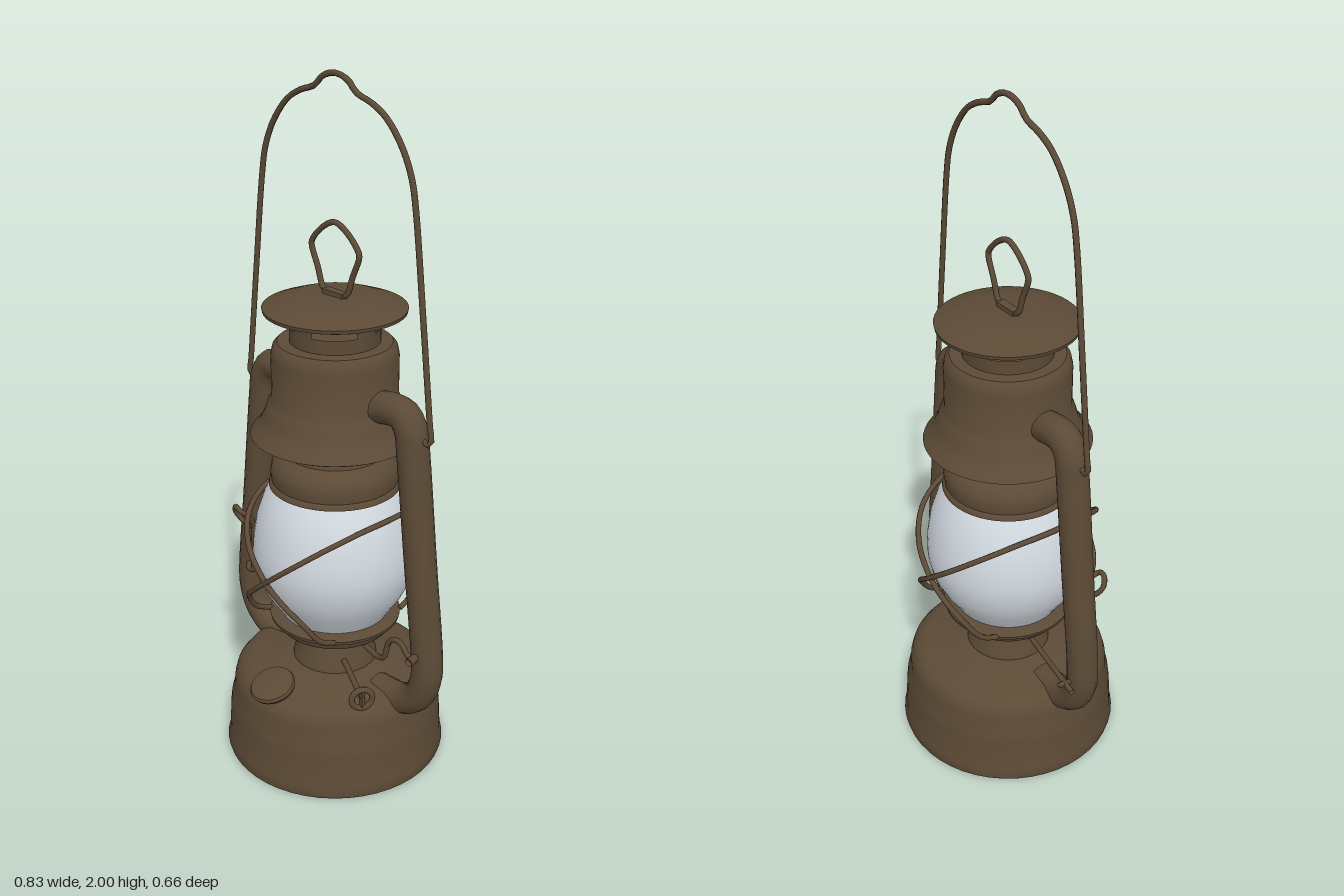
import * as THREE from 'three';
import { toCreasedNormals } from 'three/addons/utils/BufferGeometryUtils.js';

export function createModel() {
  const root = new THREE.Group();
  root.name = 'lantern';
  const metal = new THREE.MeshStandardMaterial({ color: 0x5c4a36, side: THREE.DoubleSide });
  metal.name = 'brown metal';
  const glass = new THREE.MeshStandardMaterial({ color: 0xd3dae1 });
  glass.name = 'frosted glass';

  const add = (name, geometry, material = metal, parent = root) => {
    const mesh = new THREE.Mesh(geometry, material);
    mesh.name = name;
    parent.add(mesh);
    return mesh;
  };
  // Turned part from [radius, height] pairs, listed bottom to top
  const turned = (name, profile, material = metal, parent = root) => {
    const points = profile.map(([r, y]) => new THREE.Vector2(r, y));
    return add(name, toCreasedNormals(new THREE.LatheGeometry(points, 48), 0.6), material, parent);
  };
  const curve = (points, closed = false) =>
    new THREE.CatmullRomCurve3(points.map((p) => new THREE.Vector3(...p)), closed, 'centripetal');
  const wire = (name, points, radius = 0.008, sides = 8, steps = 64, closed = false) =>
    add(name, new THREE.TubeGeometry(curve(points, closed), steps, radius, sides, closed));
  // Straight rod between two points
  const rod = (name, a, b, radius) => {
    const path = new THREE.LineCurve3(new THREE.Vector3(...a), new THREE.Vector3(...b));
    return add(name, new THREE.TubeGeometry(path, 1, radius, 8));
  };

  // Fuel tank
  turned('fuelTank', [[0, 0.004], [0.31, 0.004], [0.325, 0], [0.328, 0.01], [0.322, 0.03], [0.316, 0.13],
    [0.312, 0.16], [0.303, 0.19], [0.301, 0.22], [0.294, 0.245], [0.278, 0.265], [0.25, 0.276],
    [0.17, 0.283], [0.15, 0.292], [0, 0.292]]);

  // Burner cone and the gallery holding the globe
  turned('burnerCone', [[0.125, 0.285], [0.122, 0.305], [0.112, 0.325], [0.107, 0.36], [0.09, 0.4]]);
  turned('globeGallery', [[0.085, 0.385], [0.105, 0.39], [0.115, 0.403], [0.165, 0.403], [0.172, 0.415],
    [0.174, 0.428], [0.19, 0.432], [0.192, 0.442], [0.165, 0.452], [0, 0.452]]);

  // Glass globe
  turned('globe', [[0.155, 0.445], [0.17, 0.47], [0.2, 0.515], [0.222, 0.56], [0.235, 0.61], [0.238, 0.65],
    [0.234, 0.7], [0.223, 0.76], [0.203, 0.82], [0.182, 0.86]], glass);

  // Globe collar, hood and chimney
  turned('globeCollar', [[0, 0.855], [0.178, 0.853], [0.188, 0.858], [0.186, 0.868], [0.18, 0.874], [0.183, 0.9],
    [0.178, 0.925], [0.16, 0.945], [0.142, 0.958], [0.138, 0.975], [0.138, 1.1]]);
  turned('hood', [[0.23, 1.012], [0.237, 1.016], [0.232, 1.024], [0.212, 1.045], [0.197, 1.075], [0.186, 1.11],
    [0.176, 1.125], [0.176, 1.245], [0.171, 1.27], [0.158, 1.284], [0.125, 1.286], [0.125, 1.326]]);
  turned('hoodCeiling', [[0, 1.286], [0.126, 1.286]]);

  // Four vent posts between chimney and cap
  for (let i = 0; i < 4; i++) {
    const span = 0.58;
    add('ventPost', new THREE.CylinderGeometry(0.124, 0.124, 0.08, 8, 1, true, (i * Math.PI) / 2 - span / 2, span))
      .position.y = 1.345;
  }
  turned('ventBand', [[0.124, 1.365], [0.124, 1.386]]);
  turned('cap', [[0, 1.382], [0.16, 1.382], [0.186, 1.366], [0.196, 1.37], [0.198, 1.38], [0.15, 1.398],
    [0.13, 1.405], [0.06, 1.41], [0, 1.411]]);

  // Finger loop on the cap
  add('loopClasp', new THREE.BoxGeometry(0.075, 0.018, 0.025)).position.y = 1.415;
  const loopSide = [[0.036, 1.416], [0.048, 1.425], [0.066, 1.475], [0.09, 1.535], [0.085, 1.55], [0.045, 1.59]];
  wire('capLoop', [...loopSide.map(([x, y]) => [-x, y, 0]), [0, 1.61, 0],
    ...loopSide.map(([x, y]) => [x, y, 0]).reverse()], 0.008);

  // Carrying bail with hooked ends
  const bailSide = [[0.315, 1.1], [0.345, 1.083], [0.357, 1.095], [0.351, 1.14], [0.318, 1.42], [0.283, 1.7],
    [0.268, 1.77], [0.235, 1.84], [0.18, 1.905], [0.13, 1.934], [0.075, 1.953], [0.045, 1.98]];
  wire('bail', [...bailSide.map(([x, y]) => [-x, y, 0]), [0, 1.992, 0],
    ...bailSide.map(([x, y]) => [x, y, 0]).reverse()], 0.008, 8, 120);

  for (const s of [-1, 1]) {
    // Side air tube from hood down to tank
    wire('sideTube', [[0.15, 1.135], [0.225, 1.147], [0.262, 1.14], [0.286, 1.105], [0.296, 1.04], [0.332, 0.73],
      [0.368, 0.42], [0.366, 0.37], [0.344, 0.31], [0.3, 0.27], [0.25, 0.254], [0.18, 0.25]]
      .map(([x, y]) => [s * x, y, 0]), 0.045, 16, 72);

    // Guard wire arching over one side and crossing front and back
    const half = [[0.135, 0.44, 0.135], [0.135, 0.47, 0.19], [0.112, 0.535, 0.236], [0.06, 0.584, 0.26],
      [0, 0.635, 0.27], [-0.08, 0.702, 0.255], [-0.15, 0.762, 0.2], [-0.195, 0.8, 0.11]];
    wire('guardWire', [...half, [-0.212, 0.812, 0], ...half.map(([x, y, z]) => [x, y, -z]).reverse()]
      .map(([x, y, z]) => [s * x, y, z]), 0.008, 8, 100);
  }

  // Tilted filler cap at the front of the tank
  const filler = new THREE.Group();
  filler.name = 'fillerCap';
  filler.position.set(0, 0.283, 0.25);
  filler.rotation.x = 0.33;
  root.add(filler);
  turned('fillerNeck', [[0.045, -0.07], [0.042, -0.02]], metal, filler);
  turned('fillerLid', [[0, -0.028], [0.045, -0.028], [0.05, -0.008], [0.064, -0.004], [0.067, 0.004], [0.063, 0.012],
    [0.04, 0.016], [0, 0.018]], metal, filler);

  // Wick adjuster: shaft and ring knob
  rod('wickShaft', [0.06, 0.325, 0.035], [0.27, 0.325, 0.155], 0.009);
  const knob = add('wickKnob', new THREE.TorusGeometry(0.03, 0.009, 8, 20));
  knob.position.set(0.265, 0.325, 0.153);
  knob.rotation.y = Math.atan2(0.21, 0.12);
  const knobBar = add('wickKnobBar', new THREE.BoxGeometry(0.012, 0.06, 0.012));
  knobBar.position.copy(knob.position);

  // Globe lifting lever, running straight through below the gallery
  wire('liftLever', [[-0.405, 0.395, -0.065], [-0.1, 0.395, -0.016], [0.1, 0.395, 0.016], [0.225, 0.395, 0.045],
    [0.25, 0.41, 0.05], [0.268, 0.465, 0.052], [0.29, 0.487, 0.054], [0.32, 0.488, 0.056], [0.345, 0.465, 0.058],
    [0.372, 0.455, 0.06]], 0.008, 8, 90);
  rod('leverStop', [-0.362, 0.395, -0.08], [-0.368, 0.395, -0.035], 0.008);
  rod('leverGrip', [0.363, 0.457, 0.045], [0.367, 0.457, 0.077], 0.012);

  // Latch wire with an eye on the other tube
  wire('latchWire', [[-0.35, 0.47, 0.03], [-0.325, 0.467, 0.055], [-0.298, 0.472, 0.06], [-0.296, 0.55, 0.058],
    [-0.292, 0.63, 0.06], [-0.29, 0.66, 0.075], [-0.305, 0.685, 0.098], [-0.33, 0.69, 0.095], [-0.342, 0.665, 0.085],
    [-0.328, 0.635, 0.07], [-0.305, 0.62, 0.055], [-0.325, 0.6, 0.03]], 0.008, 8, 80);

  return root;
}
